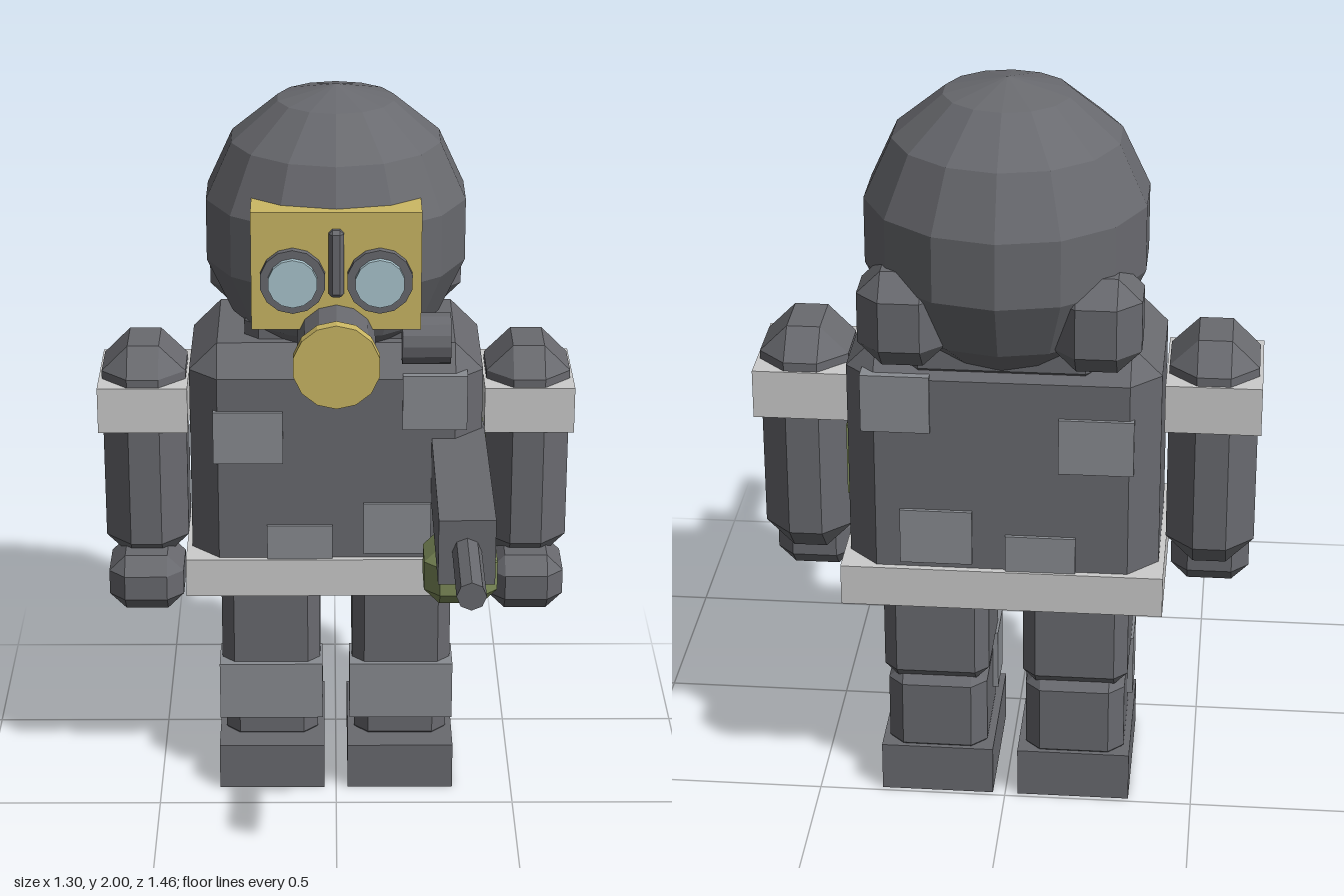
import * as THREE from 'three';
import { ConvexGeometry } from 'three/addons/geometries/ConvexGeometry.js';

const mat = (name, color) => {
  const m = new THREE.MeshStandardMaterial({ color });
  m.name = name;
  m.flatShading = true;
  return m;
};

export function createModel() {
  const suit = mat('suit grey', 0x696a6f);
  const pad = mat('patch grey', 0x898c91);
  const pale = mat('band light grey', 0xcccccc);
  const yellow = mat('mask yellow', 0xccb864);
  const olive = mat('olive green', 0x7d8b59);
  const glass = mat('lens blue', 0xabc6cf);

  const model = new THREE.Group();
  model.name = 'figure';

  const add = (name, geometry, material, parent = model) => {
    const mesh = new THREE.Mesh(geometry, material);
    mesh.name = name;
    parent.add(mesh);
    return mesh;
  };

  // Box given by its limits; a chamfer cuts every edge and corner
  const block = (name, material, [x0, x1], [y0, y1], [z0, z1], chamfer = 0, parent = model) => {
    const h = [(x1 - x0) / 2, (y1 - y0) / 2, (z1 - z0) / 2];
    let geometry;
    if (chamfer) {
      const points = [];
      for (const sx of [-1, 1]) for (const sy of [-1, 1]) for (const sz of [-1, 1])
        for (let axis = 0; axis < 3; axis++) {
          const [a, b, c] = h.map((v, i) => (i === axis ? v : v - chamfer));
          points.push(new THREE.Vector3(sx * a, sy * b, sz * c));
        }
      geometry = new ConvexGeometry(points);
    } else {
      geometry = new THREE.BoxGeometry(h[0] * 2, h[1] * 2, h[2] * 2);
    }
    const mesh = add(name, geometry, material, parent);
    mesh.position.set((x0 + x1) / 2, (y0 + y1) / 2, (z0 + z1) / 2);
    return mesh;
  };

  // Cylinder lying along z
  const rod = (name, material, r, x, y, z0, z1, sides) => {
    const geometry = new THREE.CylinderGeometry(r, r, z1 - z0, sides).rotateX(Math.PI / 2);
    add(name, geometry, material).position.set(x, y, (z0 + z1) / 2);
  };

  // Torso, belt and neck
  block('torso', suit, [-0.4, 0.4], [0.61, 1.34], [-0.572, -0.073], 0.077);
  block('belt', pale, [-0.415, 0.415], [0.625, 0.735], [-0.59, -0.056]);
  block('neck', suit, [-0.25, 0.25], [1.25, 1.42], [-0.56, -0.18], 0.04);

  // Patches, the same on chest and back
  const patches = [
    [[-0.335, -0.145], [1.02, 1.17]],
    [[0.18, 0.355], [1.12, 1.275]],
    [[-0.19, -0.01], [0.69, 0.835]],
    [[0.075, 0.26], [0.75, 0.9]],
  ];
  for (const [xs, ys] of patches) {
    block('chestPatch', pad, xs, ys, [-0.12, -0.063]);
    block('backPatch', pad, xs, ys, [-0.582, -0.525]);
  }

  // Helmet: low-poly ball with a vertex at the front and back
  const ball = new THREE.SphereGeometry(1, 14, 7).rotateY(Math.PI / 2);
  const helmet = add('helmet', ball, suit);
  helmet.scale.set(0.37, 0.385, 0.367);
  helmet.position.set(0, 1.615, -0.372);

  // Mask, nose bridge and breathing filter
  block('mask', yellow, [-0.225, 0.225], [1.43, 1.755], [-0.2, -0.012]);
  block('noseBridge', suit, [-0.02, 0.02], [1.525, 1.71], [-0.03, 0.012], 0.01);
  rod('filterTube', suit, 0.106, 0, 1.393, -0.14, 0.14, 14);
  rod('filterCap', yellow, 0.116, 0, 1.393, 0.138, 0.174, 14);
  const sideFilter = add('sideFilter', new THREE.CylinderGeometry(0.07, 0.07, 0.13, 14).rotateZ(Math.PI / 2), suit);
  sideFilter.position.set(0.242, 1.377, -0.085);

  // Paired parts
  for (const s of [-1, 1]) {
    const side = s > 0 ? 'left' : 'right';
    const span = (a, b) => (s > 0 ? [a, b] : [-b, -a]);

    rod(side + 'GoggleRim', suit, 0.088, s * 0.115, 1.57, -0.03, 0.01, 14);
    rod(side + 'GoggleLens', glass, 0.066, s * 0.115, 1.57, 0, 0.026, 14);
    block(side + 'EarFlap', suit, span(0.13, 0.352), [1.325, 1.575], [-0.678, -0.45], 0.06);

    block(side + 'Arm', suit, span(0.413, 0.643), [0.67, 1.305], [-0.435, -0.145], 0.072);
    block(side + 'ArmBand', pale, span(0.406, 0.652), [1.08, 1.21], [-0.442, -0.14]);
    block(side + 'Hand', suit, span(0.425, 0.632), [0.56, 0.72], [-0.3, -0.072], 0.045);

    block(side + 'Thigh', suit, span(0.045, 0.323), [0.335, 0.7], [-0.485, -0.155], 0.035);
    block(side + 'Shin', suit, span(0.052, 0.315), [0.1, 0.36], [-0.478, -0.165], 0.04);
    block(side + 'KneePad', pad, span(0.038, 0.33), [0.2, 0.37], [-0.27, -0.138]);
    block(side + 'Boot', suit, span(0.033, 0.332), [0, 0.135], [-0.487, -0.09]);
  }

  // Carried tool: body, barrel and the olive pieces
  block('toolBody', suit, [0.26, 0.407], [0.91, 1.09], [-0.2, 0.47]);
  rod('toolBarrel', suit, 0.038, 0.333, 1.003, 0.45, 0.735, 8);
  block('toolCanister', olive, [0.235, 0.432], [0.71, 0.875], [0.012, 0.21], 0.042);
  block('sidePouch', olive, [0.3, 0.411], [0.875, 1.07], [-0.45, -0.13]);

  return model;
}
